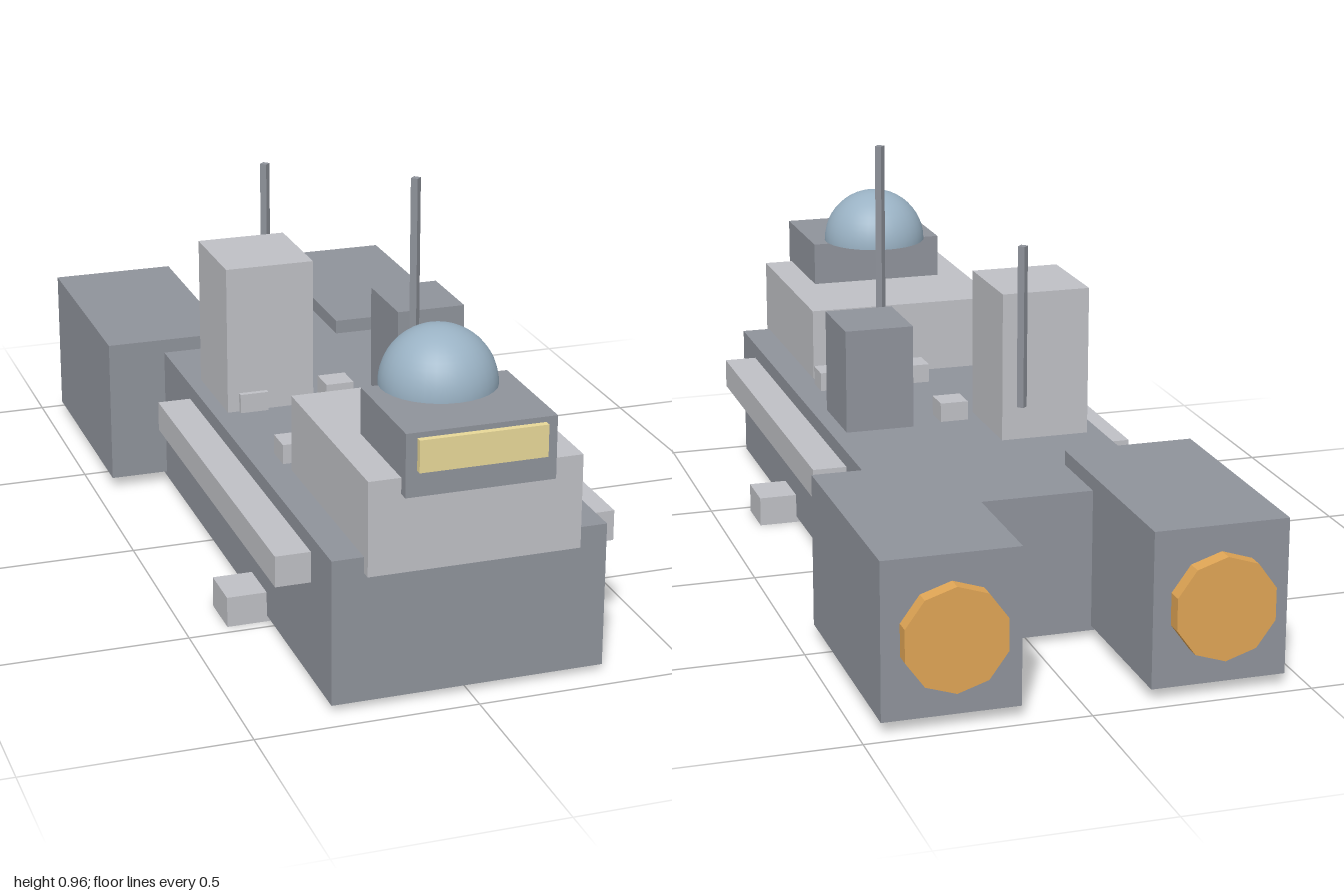
import * as THREE from 'three';

const mat = (color, extra = {}) => new THREE.MeshStandardMaterial({ color, ...extra });

export function createModel() {
  const model = new THREE.Group();
  model.name = 'ship';

  const dark = mat(0x8f939b, { flatShading: true });
  const light = mat(0xbfc0c5, { flatShading: true });
  const gold = mat(0xe0a555, { flatShading: true });
  const pane = mat(0xe8d898, { flatShading: true });
  const glass = mat(0x9ab2c4, { side: THREE.DoubleSide });

  const add = (name, geometry, material, x, y, z) => {
    const mesh = new THREE.Mesh(geometry, material);
    mesh.name = name;
    mesh.position.set(x, y, z);
    model.add(mesh);
    return mesh;
  };
  // Box given by its lower and upper limits on each axis
  const box = (name, material, [x0, x1], [y0, y1], [z0, z1]) =>
    add(name, new THREE.BoxGeometry(x1 - x0, y1 - y0, z1 - z0), material,
      (x0 + x1) / 2, (y0 + y1) / 2, (z0 + z1) / 2);

  // Hull and the bar running across under the bow
  box('hull', dark, [-0.31, 0.31], [0.015, 0.348], [-0.583, 0.936]);
  box('crossBar', light, [-0.403, 0.403], [0, 0.072], [0.357, 0.473]);

  // Raised foredeck, bridge, window and dome
  box('foredeck', light, [-0.239, 0.239], [0.312, 0.526], [0.44, 0.96]);
  box('bridge', dark, [-0.167, 0.167], [0.49, 0.632], [0.703, 0.985]);
  box('bridgeWindow', pane, [-0.142, 0.142], [0.548, 0.62], [0.97, 1]);
  add('dome', new THREE.SphereGeometry(0.13, 32, 12, 0, Math.PI * 2, 0, Math.PI / 2),
    glass, 0, 0.632, 0.725);

  // Deck towers
  box('tallTower', light, [-0.275, -0.063], [0.33, 0.703], [-0.179, 0.056]);
  box('shortTower', dark, [0.107, 0.272], [0.33, 0.597], [-0.015, 0.176]);

  // Two rows of deck hatches
  for (const z of [0.035, 0.367])
    for (const x of [-0.213, 0, 0.213])
      box('hatch', light, [x - 0.034, x + 0.034], [0.328, 0.394], [z - 0.034, z + 0.034]);

  // Side rails, engine blocks and ten-sided nozzles
  for (const s of [-1, 1]) {
    const span = (a, b) => (s > 0 ? [a, b] : [-b, -a]);
    box('sideRail', light, span(0.29, 0.39), [0.24, 0.311], [-0.155, 0.798]);
    box('engine', dark, span(0.145, 0.452), [0.026, 0.382], [-0.963, -0.393]);
    const nozzle = new THREE.CylinderGeometry(0.118, 0.118, 0.08, 10).rotateX(-Math.PI / 2);
    add('nozzle', nozzle, gold, s * 0.298, 0.205, -0.96);
  }

  // Thin four-sided antennas
  for (const [x, z, y0, y1] of [[0.094, 0.32, 0.445, 0.965], [-0.072, -0.296, 0.465, 0.846]])
    add('antenna', new THREE.CylinderGeometry(0.012, 0.012, y1 - y0, 4), dark, x, (y0 + y1) / 2, z);

  return model;
}
